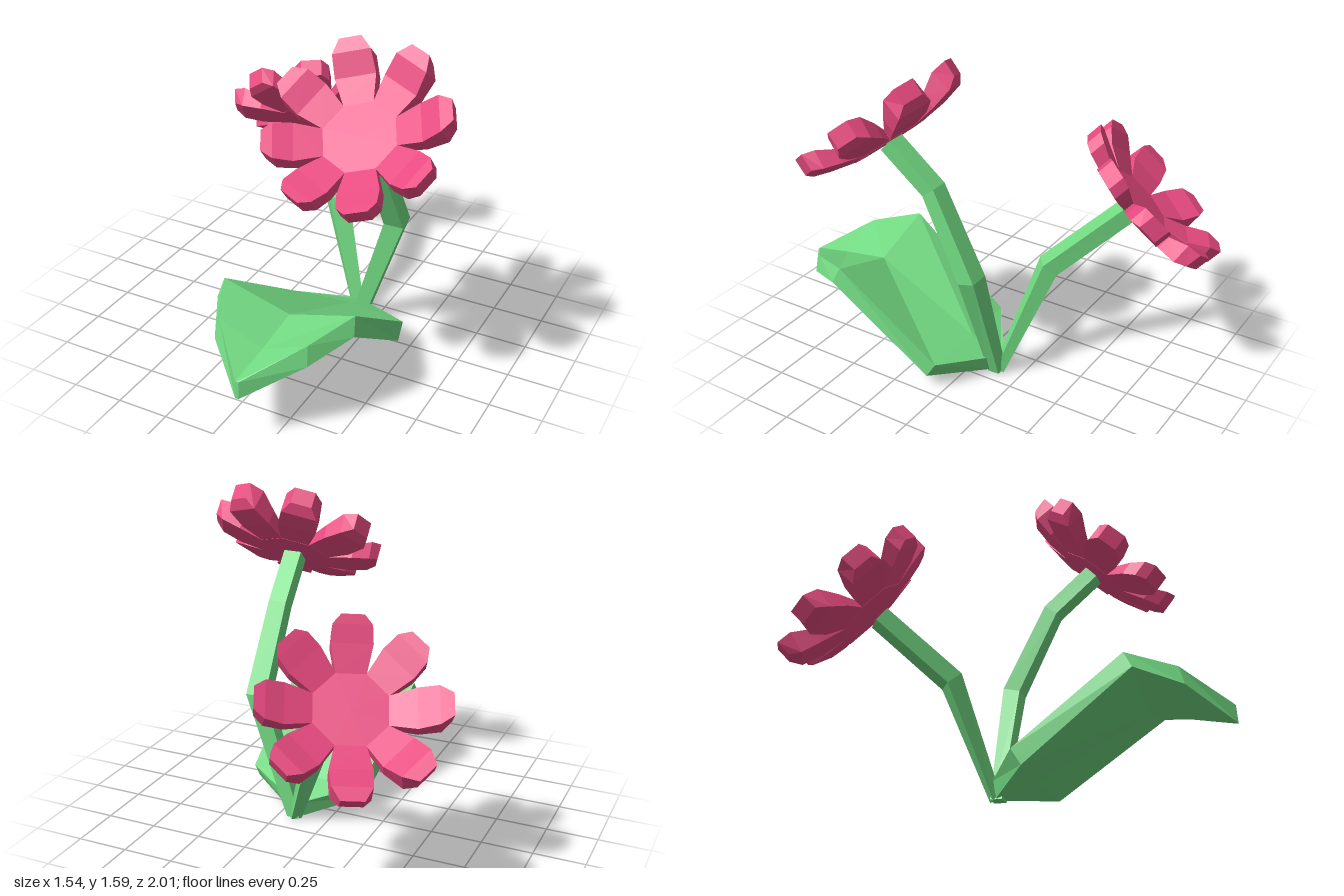
import * as THREE from 'three';

const V = (x, y, z) => new THREE.Vector3(x, y, z);
const green = new THREE.MeshStandardMaterial({ color: 0x72d982, flatShading: true });
const pink = new THREE.MeshStandardMaterial({ color: 0xe84a80, flatShading: true });

// Closed faceted skin over rings of points (counter-clockwise seen from the far end)
function loft(rings) {
  const pos = [];
  const tri = (...pts) => pts.forEach(p => pos.push(p.x, p.y, p.z));
  const n = rings[0].length;
  for (let i = 0; i + 1 < rings.length; i++) {
    for (let j = 0; j < n; j++) {
      const k = (j + 1) % n;
      const [a, b, c, d] = [rings[i][j], rings[i][k], rings[i + 1][k], rings[i + 1][j]];
      tri(a, b, c);
      tri(a, c, d);
    }
  }
  const first = rings[0], last = rings[rings.length - 1];
  for (let j = 1; j + 1 < n; j++) {
    tri(first[0], first[j + 1], first[j]);
    tri(last[0], last[j], last[j + 1]);
  }
  const g = new THREE.BufferGeometry();
  g.setAttribute('position', new THREE.Float32BufferAttribute(pos, 3));
  g.computeVertexNormals();
  return g;
}

function part(name, geometry, material) {
  const m = new THREE.Mesh(geometry, material);
  m.name = name;
  return m;
}

// Bent square stem: path points with half-thicknesses, side sets the width direction
function stem(name, path, halves, side) {
  const rings = path.map((c, i) => {
    const t = V(0, 0, 0);
    if (i > 0) t.add(c.clone().sub(path[i - 1]).normalize());
    if (i < path.length - 1) t.add(path[i + 1].clone().sub(c).normalize());
    const up = t.cross(side).normalize();
    const h = halves[i];
    return [[-1, -1], [1, -1], [1, 1], [-1, 1]].map(([a, b]) =>
      c.clone().addScaledVector(side, a * h).addScaledVector(up, b * h * 0.85));
  });
  return part(name, loft(rings), green);
}

// Petal stations: half width, then [radius, height] of the underside and of the upper face
const flatPetal = [
  [0.067, [0.16, 0], [0.16, 0.05]],
  [0.092, [0.28, 0.028], [0.28, 0.095]],
  [0.086, [0.355, 0.047], [0.355, 0.128]],
  [0.05, [0.395, 0.06], [0.395, 0.143]],
];
const curledPetal = [
  [0.067, [0.16, 0], [0.16, 0.05]],
  [0.092, [0.285, 0.018], [0.275, 0.09]],
  [0.088, [0.39, 0.045], [0.365, 0.15]],
  [0.052, [0.43, 0.085], [0.43, 0.163]],
];

// Blends the two petal shapes: k = 0 is flat, k = 1 is fully curled
function petalGeometry(k) {
  const mix = (a, b) => a + (b - a) * k;
  return loft(flatPetal.map(([w, low, high], i) => {
    const [, curlLow, curlHigh] = curledPetal[i];
    const [r0, h0] = low.map((v, j) => mix(v, curlLow[j]));
    const [r1, h1] = high.map((v, j) => mix(v, curlHigh[j]));
    return [V(-w, h0, r0), V(w, h0, r0), V(w, h1, r1), V(-w, h1, r1)];
  }));
}

// Flower head facing the normal: eight petals, most curled towards the spin direction
function flower(name, position, normal, spin) {
  const head = new THREE.Group();
  head.name = name;
  const disc = new THREE.CylinderGeometry(0.182, 0.182, 0.05, 8);
  disc.rotateY(spin);
  disc.translate(0, 0.025, 0);
  head.add(part('flowerCentre', disc, pink));
  for (let i = 0; i < 8; i++) {
    const angle = (i + 0.5) * Math.PI / 4;
    const petal = part('petal', petalGeometry(0.5 + 0.54 * Math.cos(angle)), pink);
    petal.rotation.y = spin + angle;
    head.add(petal);
  }
  const n = normal.normalize();
  const side = V(0, 1, 0).cross(n).normalize();
  const down = side.clone().cross(n);
  head.quaternion.setFromRotationMatrix(new THREE.Matrix4().makeBasis(side, n, down));
  head.position.copy(position);
  return head;
}

// Broad folded leaf: half width, [y, z] of the underside edge and middle, lift to the top, top inset
function leaf() {
  const sections = [
    { x: 0.15, w: 0.025, edge: [0.02, -0.12], mid: [0.015, -0.12], lift: [0.08, -0.02], inset: 0 },
    { x: 0.175, w: 0.295, edge: [0.08, 0.08], mid: [0.09, 0.06], lift: [0.08, -0.05], inset: 0 },
    { x: 0.145, w: 0.345, edge: [0.44, 0.61], mid: [0.34, 0.60], lift: [0.08, -0.04], inset: 0.015 },
    { x: 0.14, w: 0.23, edge: [0.375, 0.815], mid: [0.29, 0.82], lift: [0.09, -0.025], inset: 0.01 },
    { x: 0.13, w: 0.008, edge: [0.25, 1.0], mid: [0.25, 1.0], lift: [0.085, -0.005], inset: 0 },
  ];
  return part('leaf', loft(sections.map(({ x, w, edge: [ey, ez], mid: [my, mz], lift: [ly, lz], inset }) => [
    V(x - w, ey, ez), V(x, my, mz), V(x + w, ey, ez),
    V(x + w - inset, ey + ly, ez + lz), V(x, my + ly, mz + lz), V(x - w + inset, ey + ly, ez + lz),
  ])), green);
}

export function createModel() {
  const model = new THREE.Group();
  model.name = 'floweringPlant';
  model.add(
    leaf(),
    stem('frontStem',
      [V(0.165, 0.015, -0.125), V(0.36, 0.62, -0.11), V(0.345, 1.02, 0.1), V(0.365, 1.21, 0.31)],
      [0.034, 0.05, 0.045, 0.045], V(1, 0, 0)),
    stem('rearStem',
      [V(0.16, 0.02, -0.135), V(-0.04, 0.55, -0.285), V(-0.26, 0.825, -0.57)],
      [0.025, 0.05, 0.048], V(0.81, 0, -0.586)),
    flower('frontFlower', V(0.37, 1.215, 0.31), V(0, 0.777, 0.63), Math.PI),
    flower('rearFlower', V(-0.32, 0.83, -0.58), V(-0.36, 0.69, -0.62), 0.31),
  );
  return model;
}
